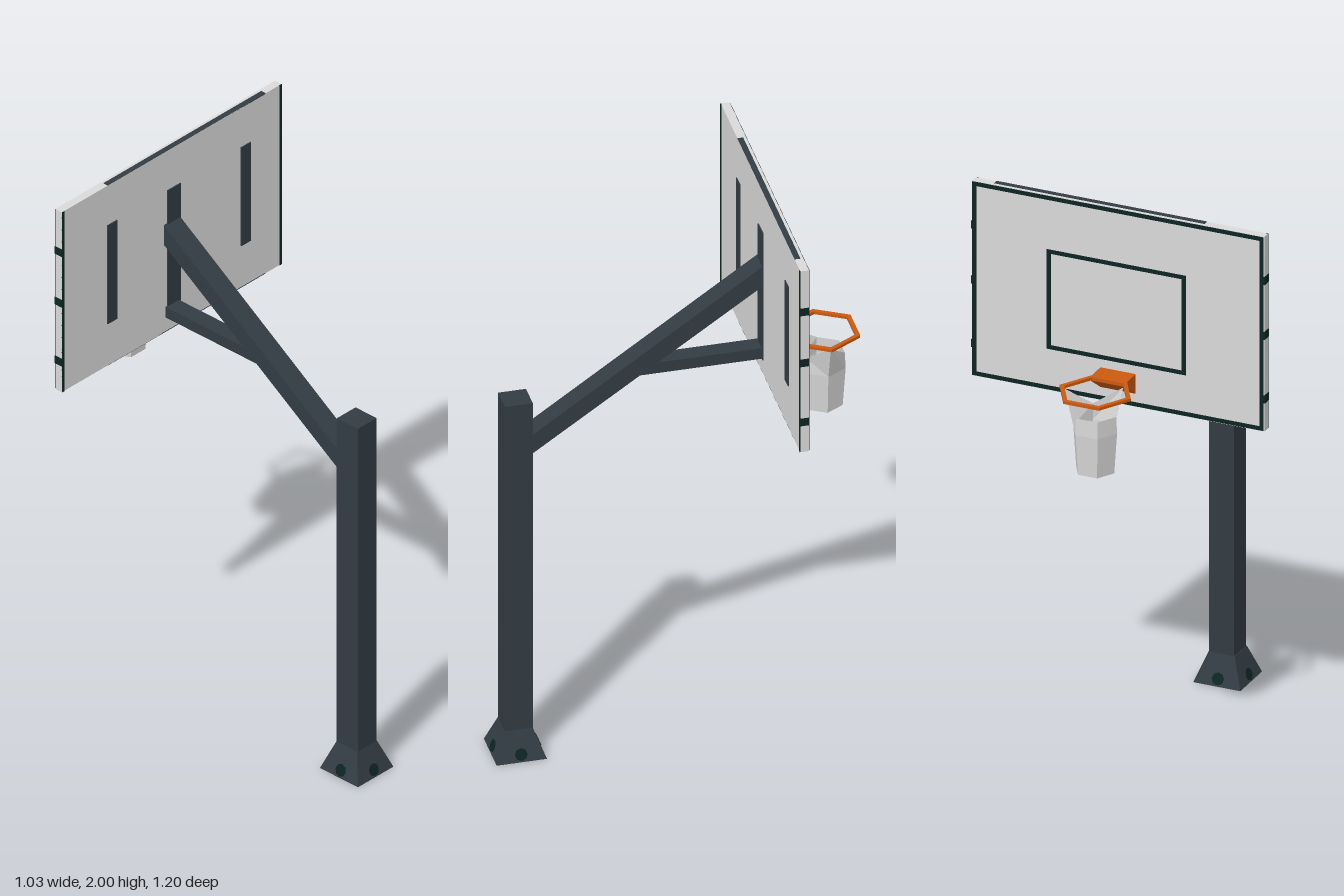
import * as THREE from 'three';

const material = (name, color) => {
  const m = new THREE.MeshStandardMaterial({ color });
  m.name = name;
  return m;
};

export function createModel() {
  const group = new THREE.Group();
  const steel = material('dark steel', 0x323c43);
  const paint = material('dark green paint', 0x0d2523);
  const white = material('board white', 0xdadada);
  const orange = material('rim orange', 0xcc5a10);
  const netWhite = material('net white', 0xd6d6d6);
  netWhite.side = THREE.DoubleSide;
  for (const m of [steel, paint, white, orange, netWhite]) m.flatShading = true;

  const add = (name, geometry, mat) => {
    const mesh = new THREE.Mesh(geometry, mat);
    mesh.name = name;
    group.add(mesh);
    return mesh;
  };
  // Box given by its extents on each axis
  const box = (name, mat, [x0, x1], [y0, y1], [z0, z1]) => {
    const mesh = add(name, new THREE.BoxGeometry(x1 - x0, y1 - y0, z1 - z0), mat);
    mesh.position.set((x0 + x1) / 2, (y0 + y1) / 2, (z0 + z1) / 2);
    return mesh;
  };
  // Side profile of (z, y) points, extruded across x
  const profile = (name, mat, points, width) => {
    const shape = new THREE.Shape(points.map(([z, y]) => new THREE.Vector2(z, y)));
    const g = new THREE.ExtrudeGeometry(shape, { depth: width, bevelEnabled: false });
    g.translate(0, 0, -width / 2).rotateY(-Math.PI / 2);
    return add(name, g, mat);
  };
  // Flat rectangular outline in the xy plane
  const frame = (name, [x0, x1], [y0, y1], w, z) => {
    const rect = (C, i) => new C([[x0 + i, y0 + i], [x1 - i, y0 + i], [x1 - i, y1 - i], [x0 + i, y1 - i]]
      .map(([x, y]) => new THREE.Vector2(x, y)));
    const shape = rect(THREE.Shape, 0);
    shape.holes.push(rect(THREE.Path, w));
    const g = new THREE.ExtrudeGeometry(shape, { depth: 0.004, bevelEnabled: false });
    add(name, g, mat4(paint)).position.z = z;
  };
  const mat4 = (m) => m;

  // Post and tapered foot
  const postZ = 0.52;
  box('post', steel, [-0.044, 0.044], [0.05, 1.33], [postZ - 0.046, postZ + 0.046]);
  const foot = new THREE.CylinderGeometry(0.046 * Math.SQRT2, 0.083 * Math.SQRT2, 0.1, 4);
  foot.rotateY(Math.PI / 4);
  add('foot', foot, steel).position.set(0, 0.05, postZ);

  // Painted spots on the four slopes of the foot
  for (let i = 0; i < 4; i++) {
    const spot = new THREE.CylinderGeometry(0.021, 0.021, 0.004, 8);
    spot.rotateX(Math.PI / 2 - Math.atan2(0.037, 0.1));
    spot.translate(0, 0.024, 0.0745).rotateY(i * Math.PI / 2);
    add('footSpot', spot, paint).position.z = postZ;
  }

  // Sloping arm and level strut
  profile('arm', steel, [[0.48, 1.13], [0.48, 1.2], [-0.288, 1.725], [-0.288, 1.65]], 0.074);
  profile('strut', steel, [[0.14, 1.37], [0.08, 1.41], [-0.288, 1.41], [-0.288, 1.37]], 0.06);

  // Backboard
  box('backboard', white, [-0.514, 0.514], [1.315, 2], [-0.317, -0.288]);
  frame('boardBorder', [-0.512, 0.512], [1.317, 1.998], 0.014, -0.319);
  frame('targetSquare', [-0.238, 0.25], [1.46, 1.81], 0.014, -0.319);

  // Mounting plates on the post side of the board
  for (const x of [-0.28, 0.345]) {
    box('mountingPlate', steel, [x - 0.023, x + 0.023], [1.475, 1.85], [-0.29, -0.284]);
  }
  box('middlePlate', steel, [-0.022, 0.04], [1.37, 1.85], [-0.29, -0.284]);

  // Edge trim and clips
  for (const s of [-1, 1]) {
    box('edgeTrim', paint, [s * 0.509 - 0.005, s * 0.509 + 0.005], [1.315, 2], [-0.289, -0.286]);
    for (const y of [1.845, 1.652, 1.428]) {
      box('edgeClip', paint, [s * 0.514 - 0.002, s * 0.514 + 0.002], [y - 0.014, y + 0.014], [-0.318, -0.287]);
    }
  }
  box('topStrip', steel, [-0.3, 0.44], [1.998, 2.001], [-0.307, -0.288]);
  box('bottomStrip', steel, [-0.3, 0.44], [1.314, 1.317], [-0.307, -0.288]);

  // Rim: flat six-sided ring on a wedge bracket
  const hoopZ = -0.492;
  const hexagon = (C, r) => new C([0, 1, 2, 3, 4, 5].map((i) =>
    new THREE.Vector2(r * Math.cos(i * Math.PI / 3), r * Math.sin(i * Math.PI / 3))));
  const ring = hexagon(THREE.Shape, 0.125);
  ring.holes.push(hexagon(THREE.Path, 0.109));
  const ringGeometry = new THREE.ExtrudeGeometry(ring, { depth: 0.01, bevelEnabled: false });
  ringGeometry.rotateX(-Math.PI / 2);
  add('rim', ringGeometry, orange).position.set(0, 1.42, hoopZ);
  profile('rimBracket', orange, [[-0.316, 1.36], [-0.316, 1.43], [-0.397, 1.43], [-0.397, 1.418]], 0.124);

  // Net: six-sided sleeve from three rings, two upper corners hooked to the rim
  const rings = [[1.355, 0.074], [1.297, 0.077], [1.155, 0.067]].map(([y, r]) =>
    Array.from({ length: 6 }, (_, i) => {
      const a = i * Math.PI / 3;
      return [r * Math.cos(a), y, hoopZ + r * Math.sin(a)];
    }));
  rings[0][0] = [0.108, 1.42, hoopZ];
  rings[0][2] = [-0.055, 1.415, hoopZ + 0.094];
  const vertices = [];
  for (let k = 0; k < 2; k++) {
    for (let i = 0; i < 6; i++) {
      const j = (i + 1) % 6;
      const [a, b, c, d] = [rings[k][i], rings[k][j], rings[k + 1][j], rings[k + 1][i]];
      vertices.push(...a, ...b, ...d, ...b, ...c, ...d);
    }
  }
  const net = new THREE.BufferGeometry();
  net.setAttribute('position', new THREE.Float32BufferAttribute(vertices, 3));
  net.computeVertexNormals();
  add('net', net, netWhite);

  return group;
}
